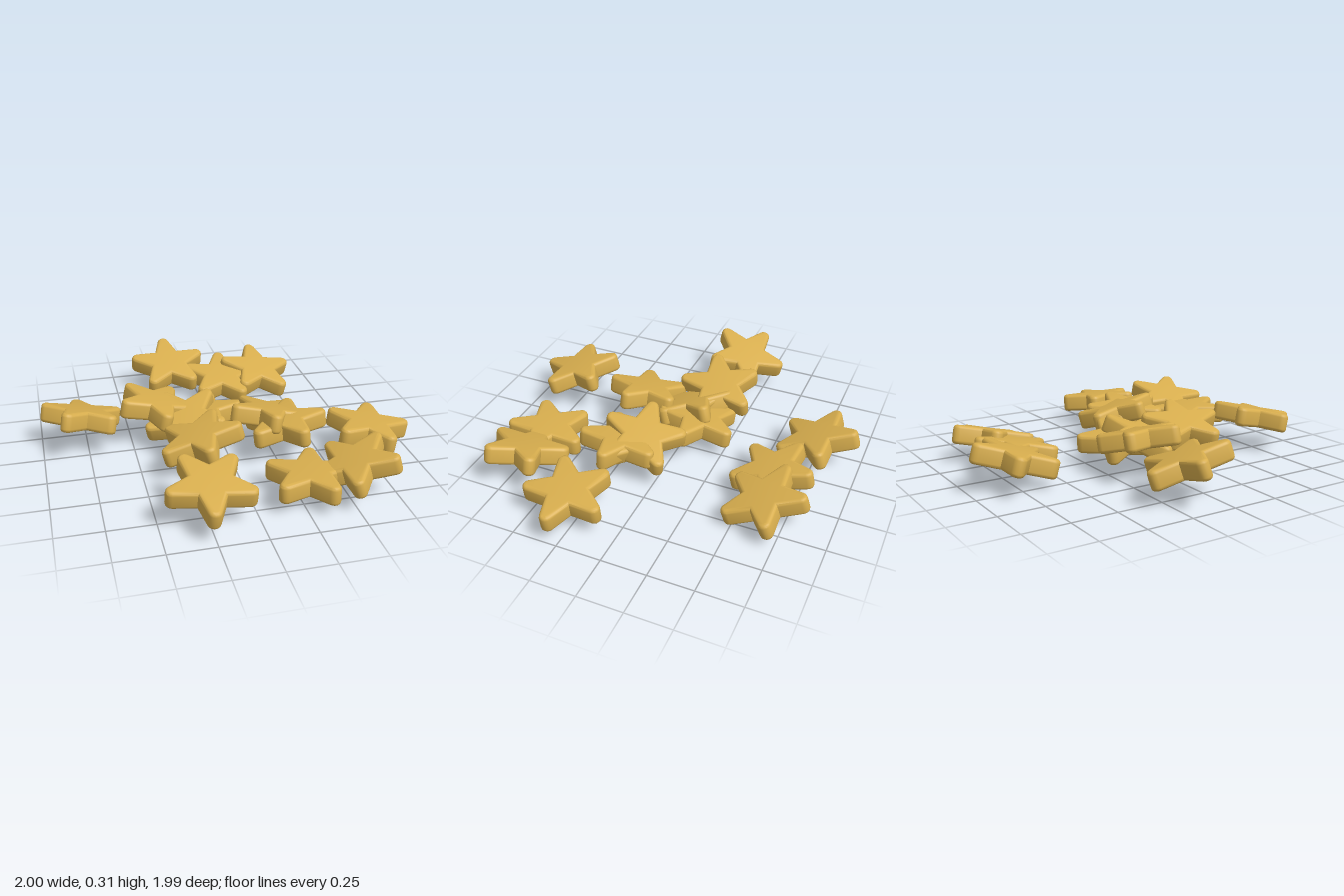
import * as THREE from 'three';
import { toCreasedNormals } from 'three/addons/utils/BufferGeometryUtils.js';

const TIP = 0.2, ROUND = 0.035, NOTCH = 0.12, THICK = 0.106, BEVEL = 0.02;

// Five-pointed star with blunt round tips and soft edges, lying flat
function starGeometry() {
  const shape = new THREE.Shape();
  const spread = THREE.MathUtils.degToRad(72);
  for (let i = 0; i < 5; i++) {
    const a = i * Math.PI * 0.4;
    for (let k = 0; k <= 6; k++) {
      const t = a - spread + (k / 6) * 2 * spread;
      const x = TIP * Math.cos(a) + ROUND * Math.cos(t);
      const y = TIP * Math.sin(a) + ROUND * Math.sin(t);
      if (i + k === 0) shape.moveTo(x, y);
      else shape.lineTo(x, y);
    }
    const n = a + Math.PI / 5;
    shape.lineTo(NOTCH * Math.cos(n), NOTCH * Math.sin(n));
  }
  shape.closePath();
  const depth = THICK - 2 * BEVEL;
  const geo = new THREE.ExtrudeGeometry(shape, {
    depth, bevelEnabled: true, bevelSize: BEVEL, bevelThickness: BEVEL,
    bevelOffset: -BEVEL, bevelSegments: 4,
  });
  geo.translate(0, 0, -depth / 2);
  geo.rotateX(Math.PI / 2);
  return toCreasedNormals(geo, 0.7);
}

// Each star: x, y, z, heading of one tip in degrees, rise along x, rise along z
const STARS = [
  [-0.165, 0.17, -0.755, -90, 0, -0.3],
  [0.14, 0.12, -0.6, -82, -0.05, -0.2],
  [0.385, 0.13, -0.635, -91, -0.15, -0.25],
  [-0.765, 0.2, -0.12, -96, -0.2, 0.25],
  [-0.35, 0.225, -0.105, 84, -0.25, 0.02],
  [-0.09, 0.15, -0.08, 5, 0.1, 0.1],
  [-0.2, 0.17, 0, -40, 0.2, -0.3],
  [-0.18, 0.2, 0.285, 14, 0.25, 0.04],
  [0.25, 0.21, 0.115, 25, -0.2, 0.2],
  [0.31, 0.195, 0.215, 4, 0.1, 0.05],
  [-0.235, 0.2, 0.765, 97, -0.03, -0.22],
  [0.3, 0.13, 0.68, 0, 0, 0.03],
  [0.55, 0.17, 0.68, 180, 0.3, 0.02],
  [0.765, 0.16, 0.3, 3, -0.12, 0],
];

export function createModel() {
  const group = new THREE.Group();
  group.name = 'starPile';
  const gold = new THREE.MeshStandardMaterial({ color: 0xd8ae4e });
  gold.name = 'gold';
  const geo = starGeometry();
  const up = new THREE.Vector3(0, 1, 0);

  // Scattered, tilted stars
  STARS.forEach(([x, y, z, heading, riseX, riseZ], i) => {
    const star = new THREE.Mesh(geo, gold);
    star.name = `star${i + 1}`;
    star.position.set(x, y, z);
    const normal = new THREE.Vector3(-riseX, 1, -riseZ).normalize();
    const turn = new THREE.Quaternion().setFromAxisAngle(up, -THREE.MathUtils.degToRad(heading));
    star.quaternion.setFromUnitVectors(up, normal).multiply(turn);
    group.add(star);
  });
  return group;
}
